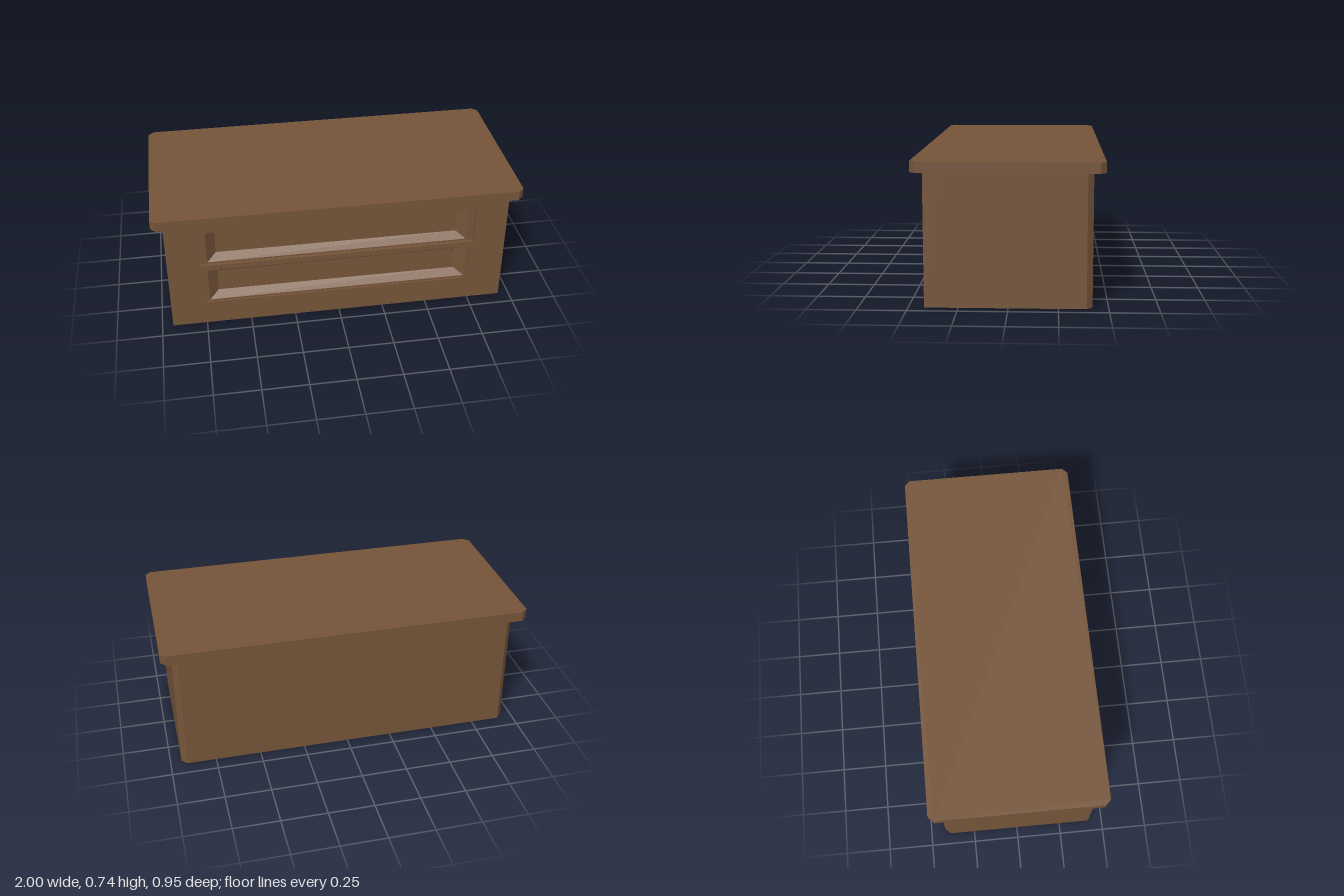
import * as THREE from 'three';

const wood = new THREE.MeshStandardMaterial({ color: 0x76553a });
wood.name = 'brown wood';

function add(group, name, geometry) {
  const mesh = new THREE.Mesh(geometry, wood);
  mesh.name = name;
  group.add(mesh);
}

// Upright block from a plan outline of [x, z] points, counter-clockwise from above
function block(plan, y0, y1) {
  const shape = new THREE.Shape(plan.map(([x, z]) => new THREE.Vector2(x, -z)));
  return new THREE.ExtrudeGeometry(shape, { depth: y1 - y0, bevelEnabled: false })
    .rotateX(-Math.PI / 2).translate(0, y0, 0);
}

// Corners of a rectangle, counter-clockwise from the front
const corners = ([x0, x1, y0, y1], z = 0) => [[x0, y0, z], [x1, y0, z], [x1, y1, z], [x0, y1, z]];

// Sunken drawer face: rectangular rings stepping inwards, closed by a flat panel
function sunkenPanel(rings) {
  const loops = rings.map(([rect, z]) => corners(rect, z));
  const pos = [];
  const quad = (a, b, c, d) => pos.push(...a, ...b, ...c, ...a, ...c, ...d);
  for (let i = 0; i < loops.length - 1; i++) {
    for (let k = 0; k < 4; k++) {
      const n = (k + 1) % 4;
      quad(loops[i][k], loops[i][n], loops[i + 1][n], loops[i + 1][k]);
    }
  }
  quad(...loops[loops.length - 1]);
  const g = new THREE.BufferGeometry();
  g.setAttribute('position', new THREE.Float32BufferAttribute(pos, 3));
  g.computeVertexNormals();
  return g;
}

export function createModel() {
  const group = new THREE.Group();
  group.name = 'chest';
  const W = 0.94, F = 0.42, H = 0.685, S = 0.33, c = 0.03;

  // Body with chamfered back corners, behind the front board
  add(group, 'body', block([
    [-W, S], [W, S], [W, -F + c], [W - c, -F], [-W + c, -F], [-W, -F + c],
  ], 0, H));

  // Front board with two drawer openings
  const upper = [-0.762, 0.76, 0.393, 0.61];
  const lower = [-0.74, 0.737, 0.142, 0.36];
  const board = new THREE.Shape(corners([-W, W, 0, H]).map(([x, y]) => new THREE.Vector2(x, y)));
  for (const r of [upper, lower]) {
    board.holes.push(new THREE.Path(corners(r).map(([x, y]) => new THREE.Vector2(x, y))));
  }
  add(group, 'frontBoard', new THREE.ExtrudeGeometry(board, { depth: F - S, bevelEnabled: false })
    .translate(0, 0, S));

  // Drawer faces with sloping borders
  add(group, 'upperDrawer', sunkenPanel([
    [upper, F], [upper, F - 0.02], [[-0.722, 0.72, 0.402, 0.604], F - 0.02],
    [[-0.672, 0.668, 0.437, 0.568], F - 0.06],
  ]));
  add(group, 'lowerDrawer', sunkenPanel([
    [lower, F], [lower, F - 0.01], [[-0.724, 0.722, 0.152, 0.355], F - 0.01],
    [[-0.672, 0.668, 0.187, 0.32], F - 0.05],
  ]));

  // Overhanging top with cut corners
  const T = 0.477;
  add(group, 'top', block([
    [-1 + c, T], [1 - c, T], [1, T - c], [1, -T + c],
    [1 - c, -T], [-1 + c, -T], [-1, -T + c], [-1, T - c],
  ], H, 0.74));
  return group;
}
